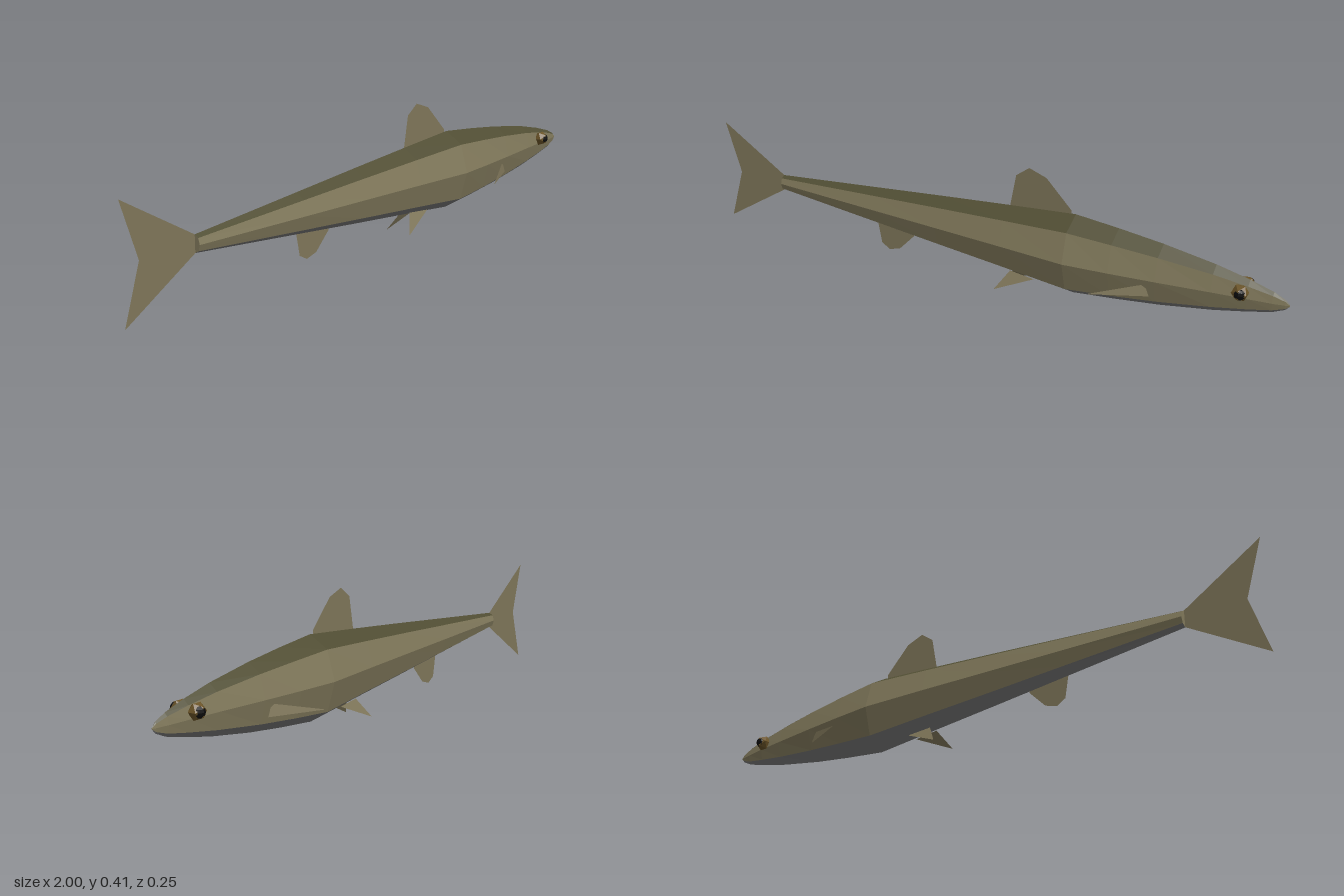
import * as THREE from 'three';

const paint = (color) => new THREE.MeshStandardMaterial({ color, flatShading: true, side: THREE.DoubleSide });

// Body stations from tail root to snout: x, centre y, half height, half width
const STATIONS = [
  [-0.757, 0.178, 0.026, 0.019], [-0.37, 0.178, 0.063, 0.043], [-0.12, 0.178, 0.087, 0.058],
  [0.12, 0.178, 0.109, 0.073], [0.34, 0.177, 0.129, 0.086], [0.48, 0.178, 0.115, 0.073],
  [0.62, 0.179, 0.098, 0.057], [0.78, 0.18, 0.072, 0.036], [0.88, 0.18, 0.05, 0.023],
  [0.95, 0.179, 0.031, 0.012], [0.985, 0.179, 0.015, 0.005], [0.997, 0.179, 0.002, 0.001],
];

// Corner k of the eight-sided section, counted from the top towards +z
function corner([x, y, h, w], k) {
  const a = (k * Math.PI) / 4;
  return [x, y + h * Math.cos(a), w * Math.sin(a)];
}

function polygons(points) {
  const g = new THREE.BufferGeometry();
  g.setAttribute('position', new THREE.Float32BufferAttribute(points.flat(), 3));
  g.computeVertexNormals();
  return g;
}

// Lengthwise strips of the body skin
function bodyStrips(strips) {
  const pts = [];
  for (let i = 0; i < STATIONS.length - 1; i++) {
    for (const k of strips) {
      const a = corner(STATIONS[i], k), b = corner(STATIONS[i + 1], k);
      const c = corner(STATIONS[i + 1], k + 1), d = corner(STATIONS[i], k + 1);
      pts.push(a, d, c, a, c, b);
    }
  }
  return polygons(pts);
}

// Flat fin in the middle plane
function flatFin(outline) {
  return new THREE.ShapeGeometry(new THREE.Shape(outline.map(([x, y]) => new THREE.Vector2(x, y))));
}

export function createModel() {
  const group = new THREE.Group();
  const fin = paint(0x80775a), back = paint(0x504d33), flank = paint(0x827a5c), belly = paint(0x7b7b7b);
  const iris = paint(0x6b5428), pupil = paint(0x0c0c0c);

  const add = (name, geometry, material) => {
    const mesh = new THREE.Mesh(geometry, material);
    mesh.name = name;
    group.add(mesh);
    return mesh;
  };

  // Body
  add('back', bodyStrips([0, 7]), back);
  add('flanks', bodyStrips([1, 2, 5, 6]), flank);
  add('belly', bodyStrips([3, 4]), belly);
  const cap = [];
  for (let k = 0; k < 8; k++) cap.push([-0.757, 0.178, 0], corner(STATIONS[0], k + 1), corner(STATIONS[0], k));
  add('tailRoot', polygons(cap), flank);

  // Middle fins
  add('tailFin', flatFin([[-0.757, 0.204], [-1, 0.35], [-0.945, 0.178], [-1, 0.005], [-0.757, 0.152]]), fin);
  add('dorsalFin', flatFin([[0.118, 0.28], [0.138, 0.388], [0.182, 0.42], [0.24, 0.4], [0.325, 0.315], [0.325, 0.29]]), fin);
  add('analFin', flatFin([[-0.375, 0.125], [-0.36, 0.047], [-0.33, 0.03], [-0.29, 0.042], [-0.235, 0.098], [-0.235, 0.12]]), fin);

  // Paired fins and eyes
  for (const s of [1, -1]) {
    const side = s > 0 ? 'Right' : 'Left';
    add('pectoralFin' + side, polygons([[0.44, 0.124, 0.125 * s], [0.605, 0.128, 0.053 * s], [0.59, 0.163, 0.053 * s]]), fin);
    add('pelvicFin' + side, polygons([[0.09, 0.014, 0.048 * s], [0.215, 0.068, 0.02 * s], [0.13, 0.075, 0.016 * s]]), fin);
    add('eye' + side, new THREE.IcosahedronGeometry(0.026, 0), iris).position.set(0.863, 0.198, 0.029 * s);
    const p = add('pupil' + side, new THREE.SphereGeometry(0.017, 8, 6), pupil);
    p.position.set(0.865, 0.198, 0.041 * s);
    p.scale.z = 0.75;
  }
  return group;
}
